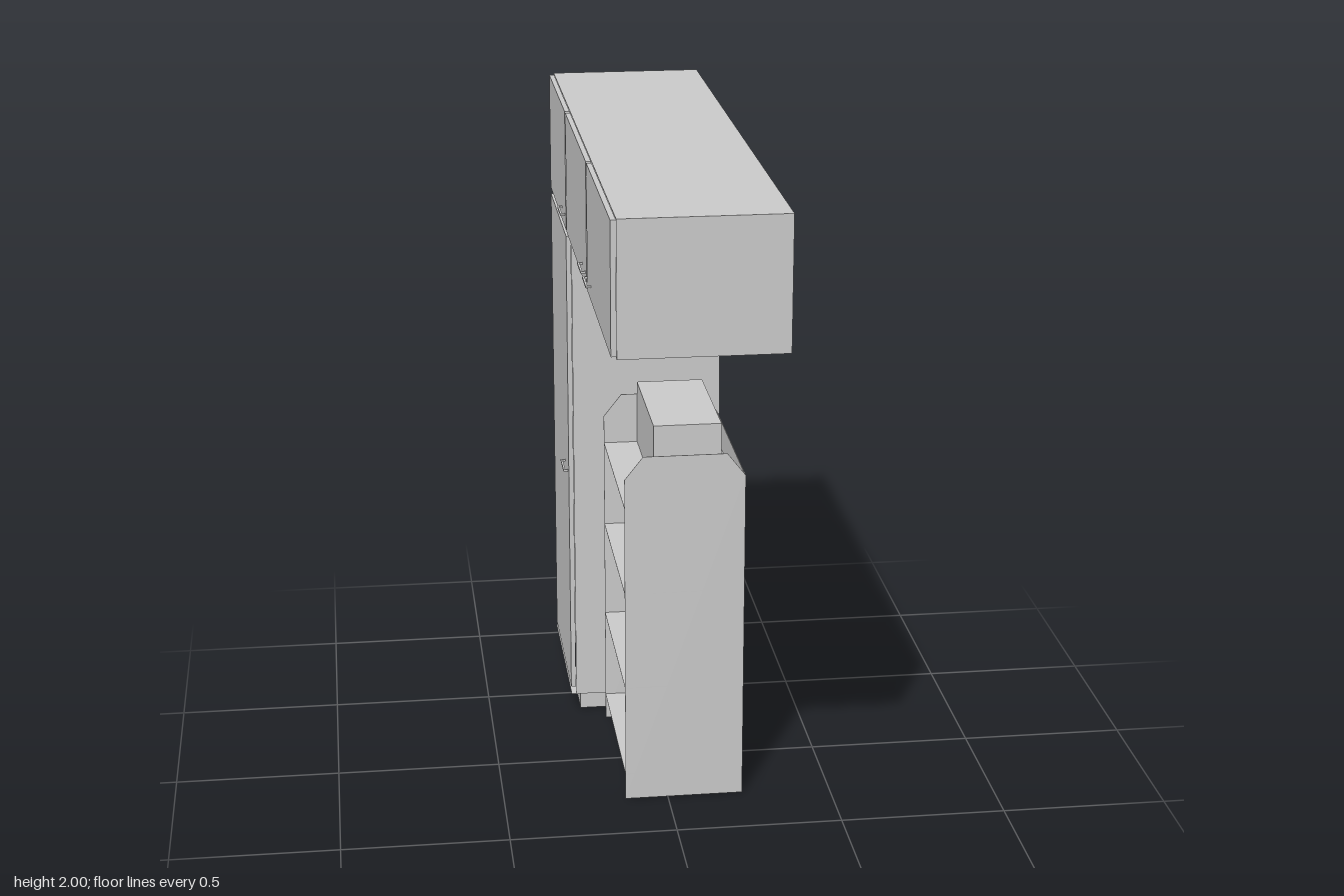
import * as THREE from 'three';

const mat = new THREE.MeshStandardMaterial({ color: 0xcccccc, flatShading: true, side: THREE.DoubleSide });
const T = 0.002; // sheet thickness

// Box given by its minimum and maximum corners
function box(parent, name, [x0, x1], [y0, y1], [z0, z1]) {
  const mesh = new THREE.Mesh(new THREE.BoxGeometry(x1 - x0, y1 - y0, z1 - z0), mat);
  mesh.position.set((x0 + x1) / 2, (y0 + y1) / 2, (z0 + z1) / 2);
  mesh.name = name;
  parent.add(mesh);
  return mesh;
}

function group(parent, name) {
  const g = new THREE.Group();
  g.name = name;
  parent.add(g);
  return g;
}

// Thin bar handle standing off the door on two short posts
function handle(parent, y, z0, z1) {
  const g = group(parent, 'handle');
  const r = 0.003, h = [y - r, y + r];
  box(g, 'handleBar', [-0.25, -0.244], h, [z0, z1]);
  for (const z of [z0, z1 - 2 * r]) box(g, 'handlePost', [-0.247, -0.235], h, [z, z + 2 * r]);
}

export function createModel() {
  const model = new THREE.Group();
  model.name = 'pantryCabinet';
  const X = [-0.22, 0.245], back = -0.927, front = 0.927, inner = -0.36;

  // Carcass, open on the +x side and underneath the tall part
  const carcass = group(model, 'carcass');
  box(carcass, 'topPanel', X, [2 - T, 2], [back, front]);
  box(carcass, 'upperFloor', X, [1.62, 1.62 + T], [inner, front]);
  box(carcass, 'upperEndPanel', X, [1.62, 2], [front - T, front]);
  box(carcass, 'tallOuterPanel', X, [0.06, 2], [back, back + T]);
  box(carcass, 'tallInnerPanel', X, [0.06, 1.62], [inner - T, inner]);

  // Doors on the -x side with small gaps between them
  const doors = group(model, 'doors');
  const D = [-0.235, -0.22];
  for (const z of [[0.295, 0.92], [-0.35, 0.277], [-0.917, -0.37]])
    box(doors, 'upperDoor', D, [1.626, 1.996], z);
  box(doors, 'tallDoor', D, [0.08, 1.605], [-0.912, -0.375]);
  handle(doors, 1.667, 0.3, 0.4);
  handle(doors, 1.667, 0.15, 0.25);
  handle(doors, 1.667, -0.5, -0.4);
  handle(doors, 0.827, -0.5, -0.4);

  // Plinth with a narrow ledge around it
  const plinth = group(model, 'plinth');
  const P = [-0.205, 0.245], L = [0.06, 0.06 + T];
  box(plinth, 'plinthFront', [-0.205, -0.205 + T], [0, 0.06], [-0.905, -0.38]);
  for (const z of [-0.905, -0.38 - T]) box(plinth, 'plinthSide', P, [0, 0.06], [z, z + T]);
  box(plinth, 'ledge', X, L, [back, -0.905]);
  box(plinth, 'ledge', X, L, [-0.38, inner]);
  box(plinth, 'ledge', [-0.235, -0.205], L, [back, inner]);
  box(plinth, 'ledge', [0.232, 0.245], L, [back, inner]);

  // Pull-out rack: two chamfered end panels
  const rack = group(model, 'pullOutRack');
  const outline = new THREE.Shape([
    [-0.13, 0], [0.23, 0], [0.23, 1.04], [0.175, 1.11], [-0.075, 1.11], [-0.13, 1.04],
  ].map(([x, y]) => new THREE.Vector2(x, y)));
  for (const z of [-0.3, 0.28 - T]) {
    const end = new THREE.Mesh(new THREE.ExtrudeGeometry(outline, { depth: T, bevelEnabled: false }), mat);
    end.position.z = z;
    end.name = 'rackEndPanel';
    rack.add(end);
  }

  // Shelves, each with an upright guard along +x
  for (const [y0, y1] of [[0.082, 0.236], [0.37, 0.522], [0.677, 0.83], [0.95, 1.04]]) {
    box(rack, 'shelf', [-0.13, 0.23], [y0, y0 + T], [-0.3, 0.28]);
    box(rack, 'shelfGuard', [0.23 - T, 0.23], [y0, y1], [-0.3, 0.28]);
  }

  // Stored boxes
  const goods = group(rack, 'storedBoxes');
  box(goods, 'largeBox', [-0.025, 0.18], [0.952, 1.15], [-0.297, 0.125]);
  box(goods, 'middleBox', [-0.05, 0.15], [0.679, 0.872], [-0.297, 0.025]);
  box(goods, 'lowBox', [-0.05, 0.15], [0.679, 0.76], [0.025, 0.2]);
  box(goods, 'bottomBox', [-0.05, 0.15], [0.372, 0.562], [-0.297, 0.025]);

  return model;
}
